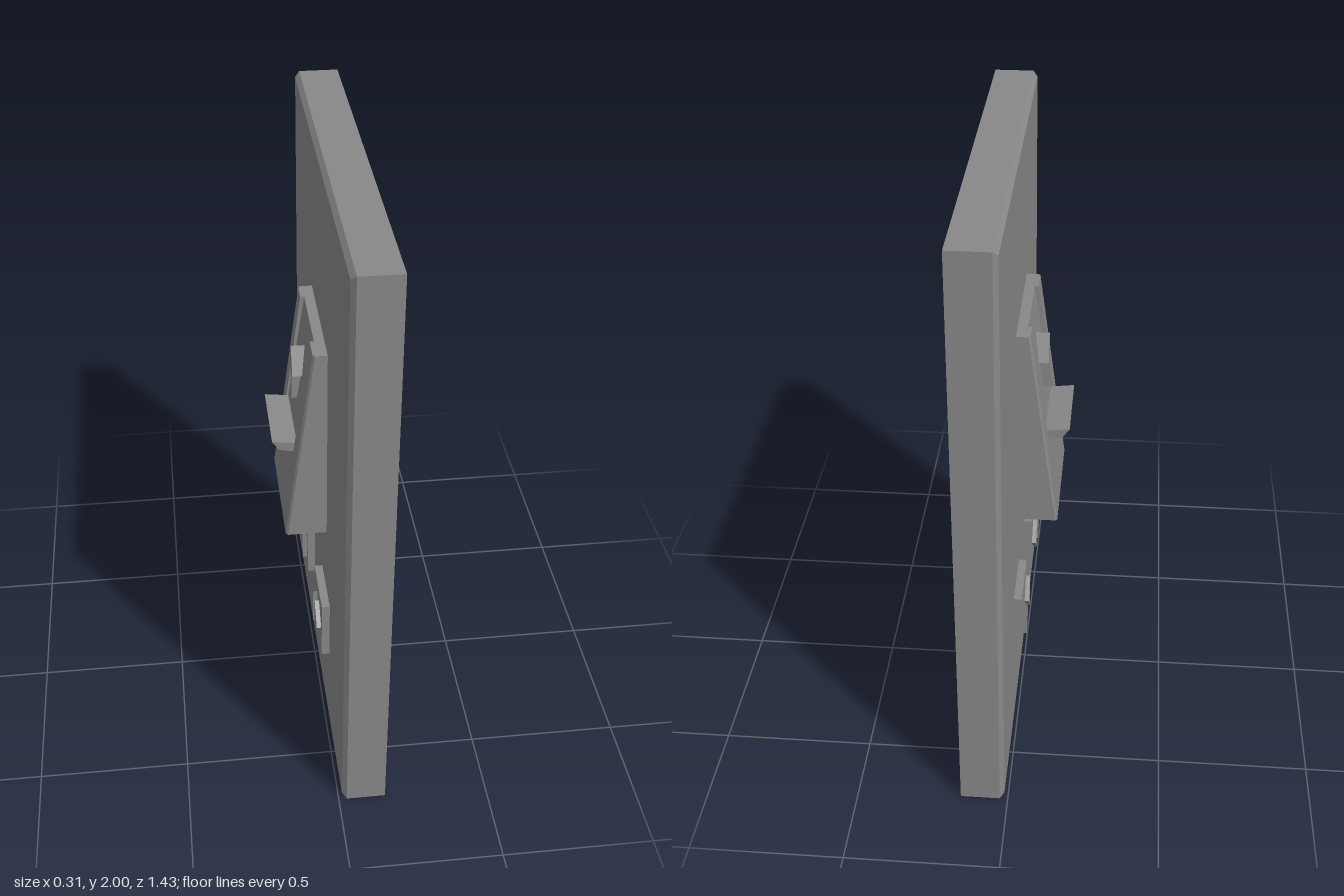
import * as THREE from 'three';

const material = new THREE.MeshStandardMaterial({ color: 0x888888, flatShading: true });

function addMesh(group, name, geometry) {
  const mesh = new THREE.Mesh(geometry, material);
  mesh.name = name;
  group.add(mesh);
}

// Joins rings of [x, y, z] points, each counterclockwise seen against the sweep, and caps both ends
function loft(rings) {
  const n = rings[0].length;
  const out = [];
  const tri = (a, b, c) => out.push(...a, ...b, ...c);
  for (let r = 0; r < rings.length - 1; r++) {
    for (let i = 0; i < n; i++) {
      const j = (i + 1) % n;
      tri(rings[r][i], rings[r][j], rings[r + 1][j]);
      tri(rings[r][i], rings[r + 1][j], rings[r + 1][i]);
    }
  }
  const first = rings[0];
  const last = rings[rings.length - 1];
  for (let i = 1; i < n - 1; i++) {
    tri(first[0], first[i + 1], first[i]);
    tri(last[0], last[i], last[i + 1]);
  }
  const geometry = new THREE.BufferGeometry();
  geometry.setAttribute('position', new THREE.Float32BufferAttribute(out, 3));
  geometry.computeVertexNormals();
  return geometry;
}

// Prism from a [z, y] outline, reaching from xBack out to xFront (towards -x)
function facePrism(outline, xBack, xFront) {
  const shape = new THREE.Shape(outline.map(([z, y]) => new THREE.Vector2(z, y)));
  return new THREE.ExtrudeGeometry(shape, { depth: xBack - xFront, bevelEnabled: false })
    .rotateY(-Math.PI / 2)
    .translate(xBack, 0, 0);
}

export function createModel() {
  const group = new THREE.Group();

  // Wall plate with a chamfered face
  const plateRing = (x, inset) => {
    const z = 0.713 - inset;
    return [[x, inset, -z], [x, inset, z], [x, 2 - inset, z], [x, 2 - inset, -z]];
  };
  addMesh(group, 'wallPlate', loft([plateRing(0.157, 0), plateRing(0.027, 0), plateRing(0.012, 0.015)]));

  // Wedge housing with a shallow slot that deepens upwards and opens at the top
  const bottom = 0.775, top = 1.467, slotEnd = 1.05;
  const frontX = (y) => -0.124 + ((y - bottom) / (top - bottom)) * 0.09;
  const housingRing = (z, inset, slot) => [
    [0.014, top, z],
    [frontX(top) + inset + slot, top, z],
    [frontX(slotEnd) + inset + slot / 2, slotEnd, z],
    [frontX(slotEnd) + inset, slotEnd, z],
    [frontX(bottom) + inset, bottom, z],
    [0.014, bottom, z],
  ];
  addMesh(group, 'switchHousing', loft([
    housingRing(-0.195, 0.007, 0), housingRing(-0.188, 0, 0),
    housingRing(-0.127, 0, 0), housingRing(-0.127, 0, 0.013),
    housingRing(0.153, 0, 0.013), housingRing(0.153, 0, 0),
    housingRing(0.233, 0, 0), housingRing(0.24, 0.007, 0),
  ]));

  // Lip across the slot
  const lip = new THREE.Shape([[-0.157, 1.095], [-0.134, 1.062], [-0.075, 1.05], [-0.075, 1.085]]
    .map(([x, y]) => new THREE.Vector2(x, y)));
  addMesh(group, 'slotLip',
    new THREE.ExtrudeGeometry(lip, { depth: 0.28, bevelEnabled: false }).translate(0, 0, -0.127));

  // Raised arrow in the slot
  const c = 0.016;
  addMesh(group, 'upArrow', facePrism([
    [c - 0.015, 1.18], [c + 0.015, 1.18], [c + 0.015, 1.28], [c + 0.043, 1.28],
    [c, 1.37], [c - 0.043, 1.28], [c - 0.015, 1.28],
  ], -0.025, -0.08));

  // Two square buttons, each with a pair of raised triangles
  const buttons = [
    { name: 'closeButton', z: -0.21, base: 0.075, tip: 0.016 },
    { name: 'openButton', z: 0.23, base: 0.024, tip: 0.09 },
  ];
  for (const { name, z, base, tip } of buttons) {
    const button = new THREE.Group();
    button.name = name;
    addMesh(button, 'buttonBase',
      new THREE.BoxGeometry(0.03, 0.216, 0.216).translate(0, 0.422, z));
    for (const side of [-1, 1]) {
      addMesh(button, 'buttonTriangle', facePrism([
        [z + side * base, 0.355], [z + side * tip, 0.421], [z + side * base, 0.487],
      ], -0.014, -0.03));
    }
    group.add(button);
  }
  return group;
}
